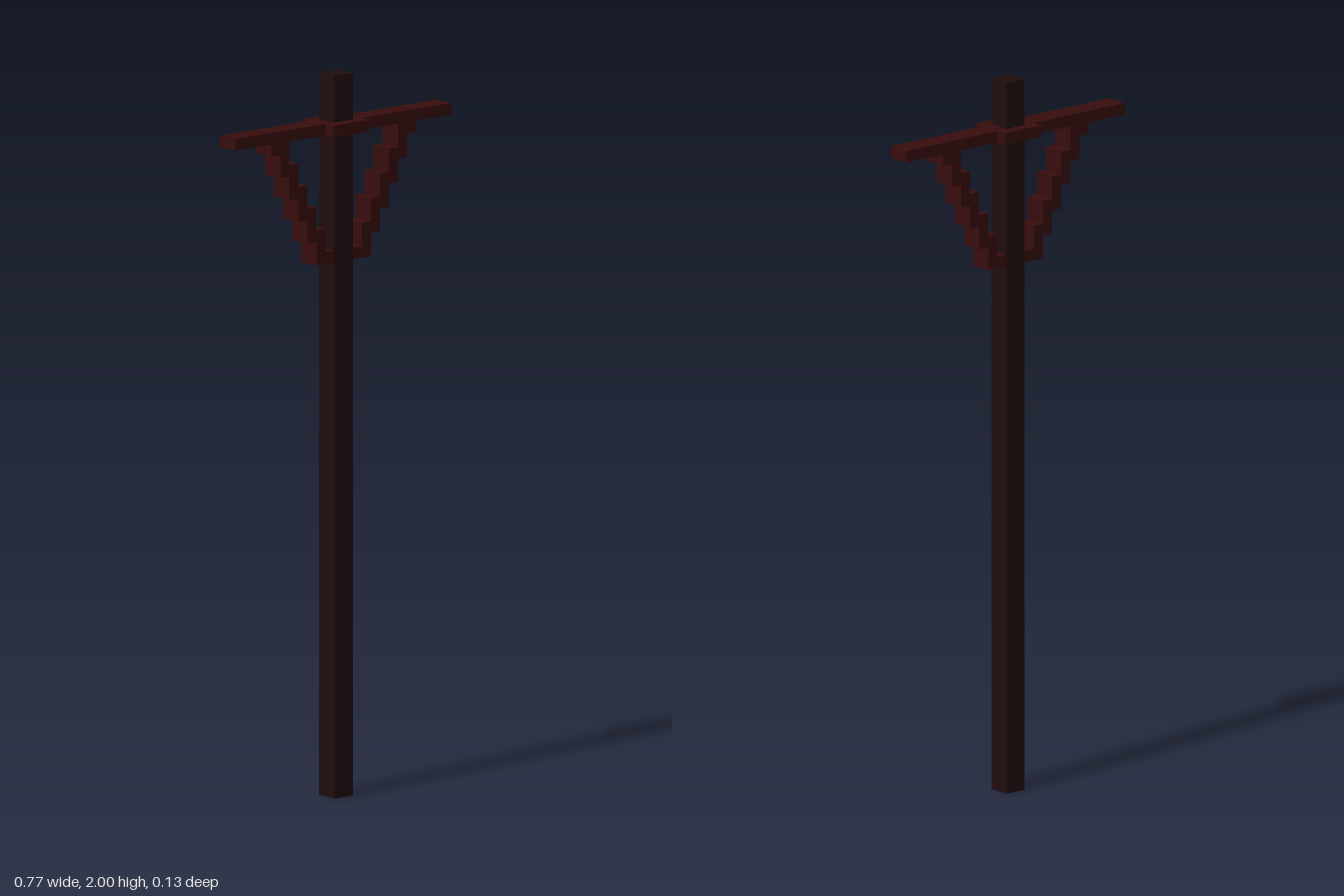
import * as THREE from 'three';

const U = 2 / 62; // one block of the grid

export function createModel() {
  const group = new THREE.Group();
  const darkWood = new THREE.MeshStandardMaterial({ color: 0x200d0e });
  darkWood.name = 'darkWood';
  const redWood = new THREE.MeshStandardMaterial({ color: 0x380d0d });
  redWood.name = 'redWood';

  const add = (name, geometry, material) => {
    const mesh = new THREE.Mesh(geometry, material);
    mesh.name = name;
    group.add(mesh);
    return mesh;
  };
  // Box given by its size and bottom height in blocks
  const box = (name, w, h, d, bottom, material, z = 0) =>
    add(name, new THREE.BoxGeometry(w * U, h * U, d * U), material)
      .position.set(0, (bottom + h / 2) * U, z * U);

  // Upright pole and crossbar
  box('pole', 2, 62, 2, 0, darkWood);
  box('crossbar', 24, 1, 2, 57, redWood);

  // Collar blocks in front of and behind the pole
  box('frontCollar', 4, 1, 1, 57, redWood, 1.5);
  box('backCollar', 4, 1, 1, 57, redWood, -1.5);

  // Stepped brace outline: lower edge going up, then upper edge coming back
  const outline = [[1, 46], [3, 46]];
  for (let i = 0; i < 5; i++) outline.push([3 + i, 48 + 2 * i], [4 + i, 48 + 2 * i]);
  outline.push([8, 57]);
  for (let i = 4; i >= 0; i--) outline.push([2 + i, 49 + 2 * i], [2 + i, 47 + 2 * i]);
  // Close the top step flush under the crossbar
  const points = outline.map(([x, y]) => new THREE.Vector2(x * U, y * U));
  points.splice(13, 0, new THREE.Vector2(6 * U, 57 * U));
  points.push(new THREE.Vector2(U, 47 * U));

  const brace = new THREE.ExtrudeGeometry(new THREE.Shape(points), { depth: 2 * U, bevelEnabled: false });
  brace.translate(0, 0, -U);
  add('leftBrace', brace, redWood);
  add('rightBrace', brace, redWood).rotation.y = Math.PI;

  return group;
}
